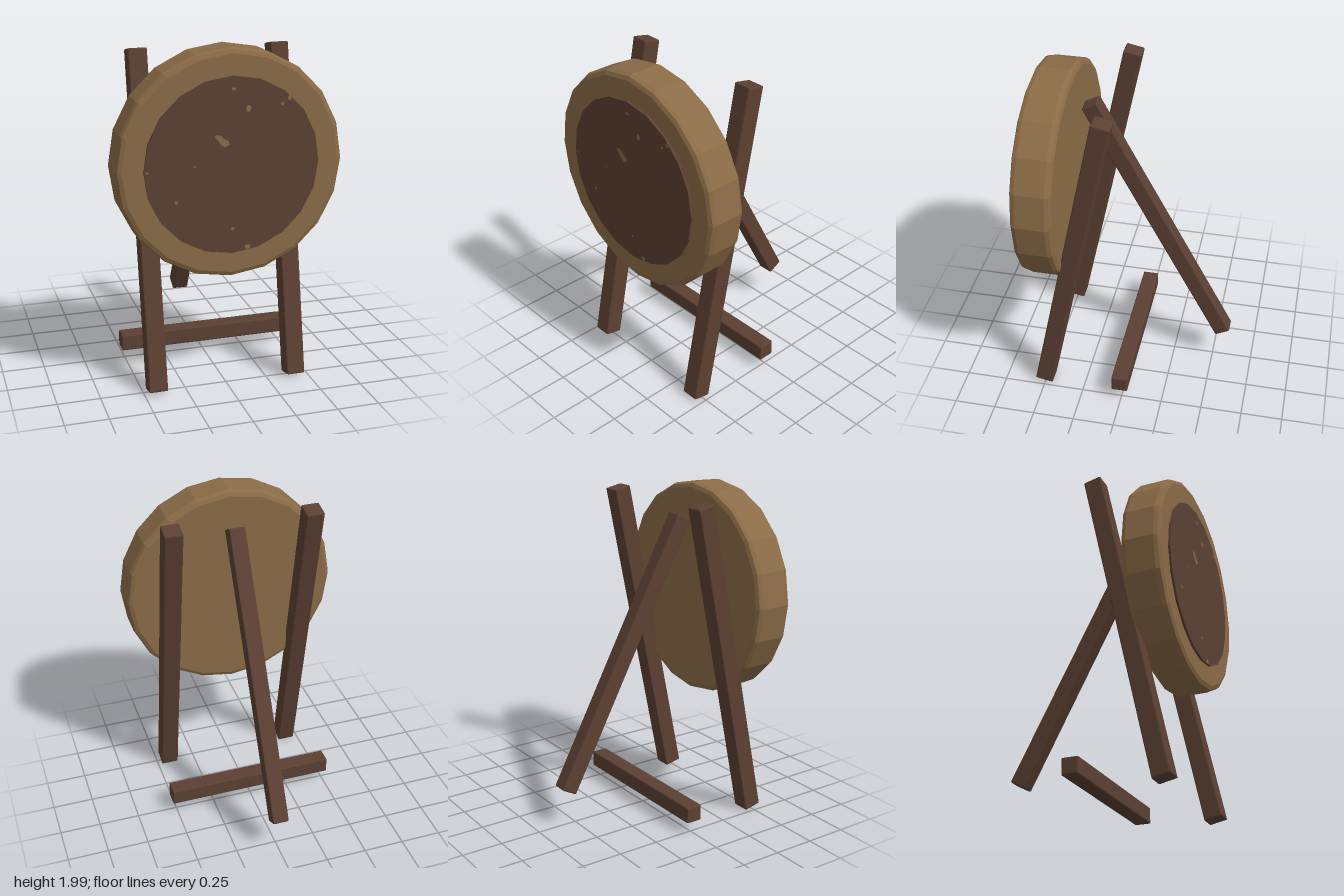
import * as THREE from 'three';
import { RoundedBoxGeometry } from 'three/addons/geometries/RoundedBoxGeometry.js';

export function createModel() {
  const model = new THREE.Group();
  const darkWood = new THREE.MeshStandardMaterial({ color: 0x5c4033, flatShading: true });
  darkWood.name = 'darkWood';
  const straw = new THREE.MeshStandardMaterial({ color: 0x8b6c47, flatShading: true });
  straw.name = 'straw';

  function add(name, geometry, material, x, y, z) {
    const mesh = new THREE.Mesh(geometry, material);
    mesh.name = name;
    mesh.position.set(x, y, z);
    model.add(mesh);
    return mesh;
  }

  // Square beam whose centre line runs between two (y, z) ends
  function beam(name, x, size, y0, z0, y1, z1) {
    const length = Math.hypot(y1 - y0, z1 - z0);
    const geometry = new RoundedBoxGeometry(size, length, size, 1, 0.008);
    const mesh = add(name, geometry, darkWood, x, (y0 + y1) / 2, (z0 + z1) / 2);
    mesh.rotation.x = Math.atan2(z1 - z0, y1 - y0);
  }

  // Easel: two front legs, a rear strut and a low crossbar
  beam('leftFrontLeg', 0.42, 0.11, 0.017, 0.508, 1.94, 0.105);
  beam('rightFrontLeg', -0.42, 0.11, 0.017, 0.508, 1.94, 0.105);
  beam('rearStrut', 0, 0.1, 0.232, -0.562, 1.806, 0.271);
  add('crossbar', new RoundedBoxGeometry(1.05, 0.1, 0.1, 1, 0.008), darkWood, 0, 0.125, 0.01);

  // Twenty-sided board with bevelled rims
  const centreY = 1.35;
  const profile = [
    [0, 0.355], [0.618, 0.355], [0.641, 0.365], [0.65, 0.388],
    [0.65, 0.557], [0.641, 0.58], [0.618, 0.59], [0, 0.59],
  ].map(([r, h]) => new THREE.Vector2(r, h));
  const board = new THREE.LatheGeometry(profile, 20);
  board.rotateX(Math.PI / 2);
  add('targetBoard', board, straw, 0, centreY, 0);

  // Dark face disc
  const disc = new THREE.CylinderGeometry(0.5, 0.5, 0.022, 20);
  disc.rotateX(Math.PI / 2);
  add('targetFace', disc, darkWood, 0, centreY, 0.592);

  // Worn patches on the face: x, y, half width, half height
  const patches = [
    [0.085, 1.67, 0.015, 0.02], [0, 1.78, 0.013, 0.01], [0.28, 1.685, 0.01, 0.01],
    [0.32, 1.715, 0.012, 0.015], [-0.48, 1.35, 0.01, 0.007], [-0.215, 1.365, 0.006, 0.007],
    [-0.322, 1.172, 0.012, 0.01], [0, 0.995, 0.012, 0.009], [0.09, 0.88, 0.018, 0.015],
  ];
  for (const [x, y, w, h] of patches) {
    const patch = new THREE.CircleGeometry(1, 6);
    patch.scale(w, h, 1);
    add('wornPatch', patch, straw, x, y, 0.6045);
  }
  const tear = new THREE.Shape([
    [-0.108, 1.522], [-0.085, 1.5], [-0.068, 1.475], [-0.045, 1.462], [-0.022, 1.475],
    [-0.025, 1.495], [-0.055, 1.51], [-0.07, 1.528], [-0.095, 1.532],
  ].map(([x, y]) => new THREE.Vector2(x, y)));
  add('wornTear', new THREE.ShapeGeometry(tear), straw, 0, 0, 0.6045);

  return model;
}
